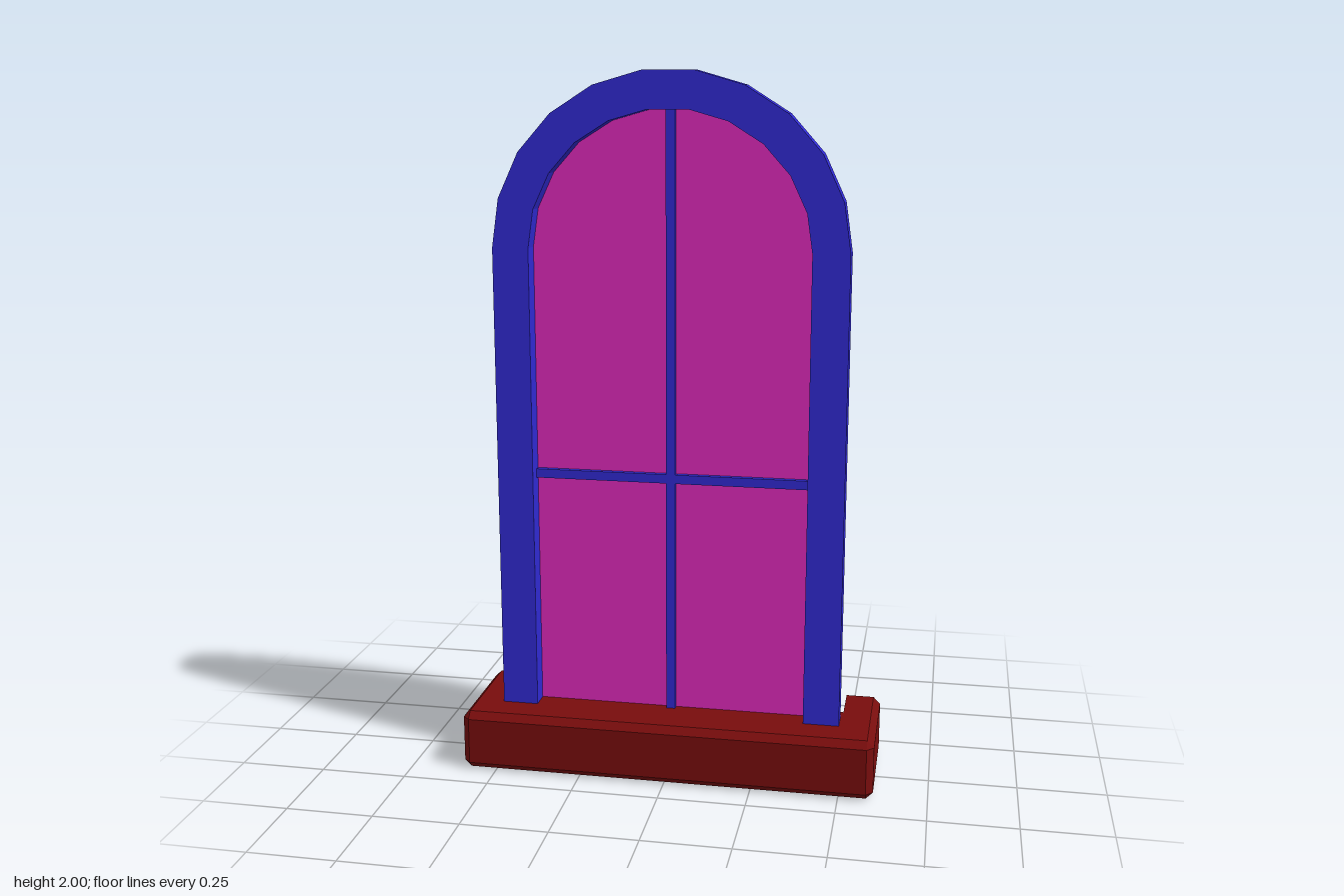
import * as THREE from 'three';

const frameMat = new THREE.MeshStandardMaterial({ color: 0x302ad2, flatShading: true });
const glassMat = new THREE.MeshStandardMaterial({ color: 0xdf2abb, side: THREE.DoubleSide });
const sillMat = new THREE.MeshStandardMaterial({ color: 0x780d0d, flatShading: true, side: THREE.DoubleSide });

const CX = -0.004, SPRING = 1.52, BASE = 0.17, BACK = -0.004, FRONT = 0.062;

// Outline of an arched opening: straight jambs and a faceted elliptical head
function archPoints(rx, ry, segments = 11) {
  const pts = [new THREE.Vector2(CX + rx, BASE)];
  for (let i = 0; i <= segments; i++) {
    const a = (Math.PI * i) / segments;
    pts.push(new THREE.Vector2(CX + rx * Math.cos(a), SPRING + ry * Math.sin(a)));
  }
  pts.push(new THREE.Vector2(CX - rx, BASE));
  return pts;
}

function addMesh(group, name, geometry, material) {
  const mesh = new THREE.Mesh(geometry, material);
  mesh.name = name;
  group.add(mesh);
  return mesh;
}

function addBar(group, name, w, h, x, y) {
  addMesh(group, name, new THREE.BoxGeometry(w, h, 0.024), frameMat).position.set(x, y, 0.01);
}

// Chamfered skirt around the front and sides of the sill, open at the back
function skirtGeometry(x, front, back, height, c) {
  const full = [[x, back], [x, front - c], [x - c, front], [c - x, front], [-x, front - c], [-x, back]];
  const inset = full.map(([px, pz]) => [Math.sign(px) * (x - c), Math.min(pz, front - c)]);
  const layers = [[inset, 0], [full, c], [full, height - c], [inset, height]];
  const pos = [], index = [];
  for (const [ring, y] of layers) for (const [px, pz] of ring) pos.push(px, y, pz);
  const n = full.length;
  for (let l = 0; l < layers.length - 1; l++) {
    for (let i = 0; i < n - 1; i++) {
      const a = l * n + i, b = a + 1, d = a + n, e = b + n;
      index.push(a, d, b, b, d, e);
    }
  }
  const g = new THREE.BufferGeometry();
  g.setAttribute('position', new THREE.Float32BufferAttribute(pos, 3));
  g.setIndex(index);
  const flat = g.toNonIndexed();
  flat.computeVertexNormals();
  return flat;
}

export function createModel() {
  const model = new THREE.Group();
  model.name = 'archedWindow';

  // Arched frame
  const outer = archPoints(0.496, 0.485);
  const inner = archPoints(0.393, 0.381);
  const frameShape = new THREE.Shape([...outer, ...inner.slice().reverse()]);
  const frameGeo = new THREE.ExtrudeGeometry(frameShape, { depth: FRONT - BACK, bevelEnabled: false });
  frameGeo.translate(0, 0, BACK);
  addMesh(model, 'frame', frameGeo, frameMat);

  // Glass pane near the back of the frame
  const glass = new THREE.ShapeGeometry(new THREE.Shape(inner));
  glass.translate(0, 0, 0.006);
  addMesh(model, 'glass', glass, glassMat);

  // Crossing glazing bars
  const top = SPRING + 0.379;
  addBar(model, 'verticalBar', 0.026, top - BASE, CX, (top + BASE) / 2);
  addBar(model, 'horizontalBar', 0.786, 0.026, CX, 0.87);

  // Hollow sill: chamfered skirt plus U-shaped top and bottom plates
  const sill = new THREE.Group();
  sill.name = 'sill';
  model.add(sill);
  const W = 0.598, H = 0.175, F = 0.166, B = -0.17, C = 0.02;
  addMesh(sill, 'sillSkirt', skirtGeometry(W, F, B, H, C), sillMat);
  const x = W - C, z = F - C;
  const plate = new THREE.Shape(
    [[-x, -z], [x, -z], [x, -B], [0.498, -B], [0.498, 0.04], [-0.498, 0.04], [-0.498, -B], [-x, -B]]
      .map(([px, py]) => new THREE.Vector2(px, py)));
  for (const [name, y] of [['sillTop', H], ['sillBottom', 0]]) {
    const g = new THREE.ShapeGeometry(plate);
    g.rotateX(-Math.PI / 2);
    if (y === 0) {
      // Flip the lower plate to face down
      g.index.array.reverse();
      g.computeVertexNormals();
    }
    g.translate(0, y, 0);
    addMesh(sill, name, g, sillMat);
  }
  return model;
}
